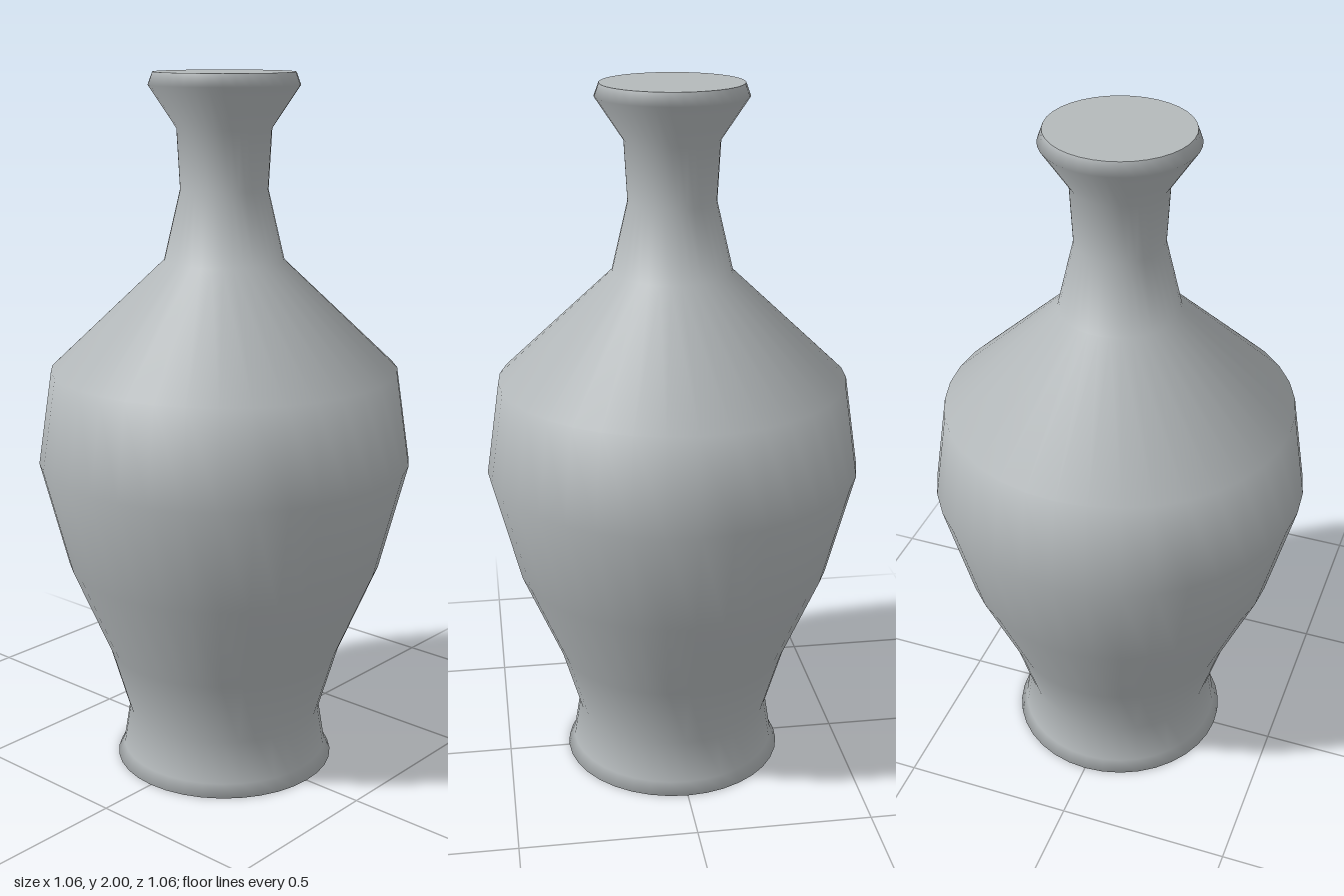
import * as THREE from 'three';

const SEGMENTS = 36;

// Outline as [radius, height], from the underside to the mouth
const PROFILE = [
  [0.29, 0], [0.32, 0], [0.302, 0.035], [0.283, 0.155], [0.34, 0.35],
  [0.452, 0.615], [0.53, 0.92], [0.49, 1.185], [0.168, 1.49],
  [0.122, 1.685], [0.131, 1.85], [0.208, 1.965], [0.195, 2],
];

export function createModel() {
  const group = new THREE.Group();
  group.name = 'vase';
  const glaze = new THREE.MeshStandardMaterial({ color: 0xb4b9bb });
  glaze.name = 'grey glaze';

  const add = (name, geometry) => {
    const mesh = new THREE.Mesh(geometry, glaze);
    mesh.name = name;
    group.add(mesh);
    return mesh;
  };

  // Smooth turned body with flared foot and lip
  const points = PROFILE.map(([r, y]) => new THREE.Vector2(r, y));
  add('body', new THREE.LatheGeometry(points, SEGMENTS));

  // Flat discs closing the mouth and the underside
  const top = add('topCap', new THREE.CircleGeometry(0.195, SEGMENTS));
  top.rotation.x = -Math.PI / 2;
  top.position.y = 2;
  const base = add('baseCap', new THREE.CircleGeometry(0.29, SEGMENTS));
  base.rotation.x = Math.PI / 2;

  return group;
}
